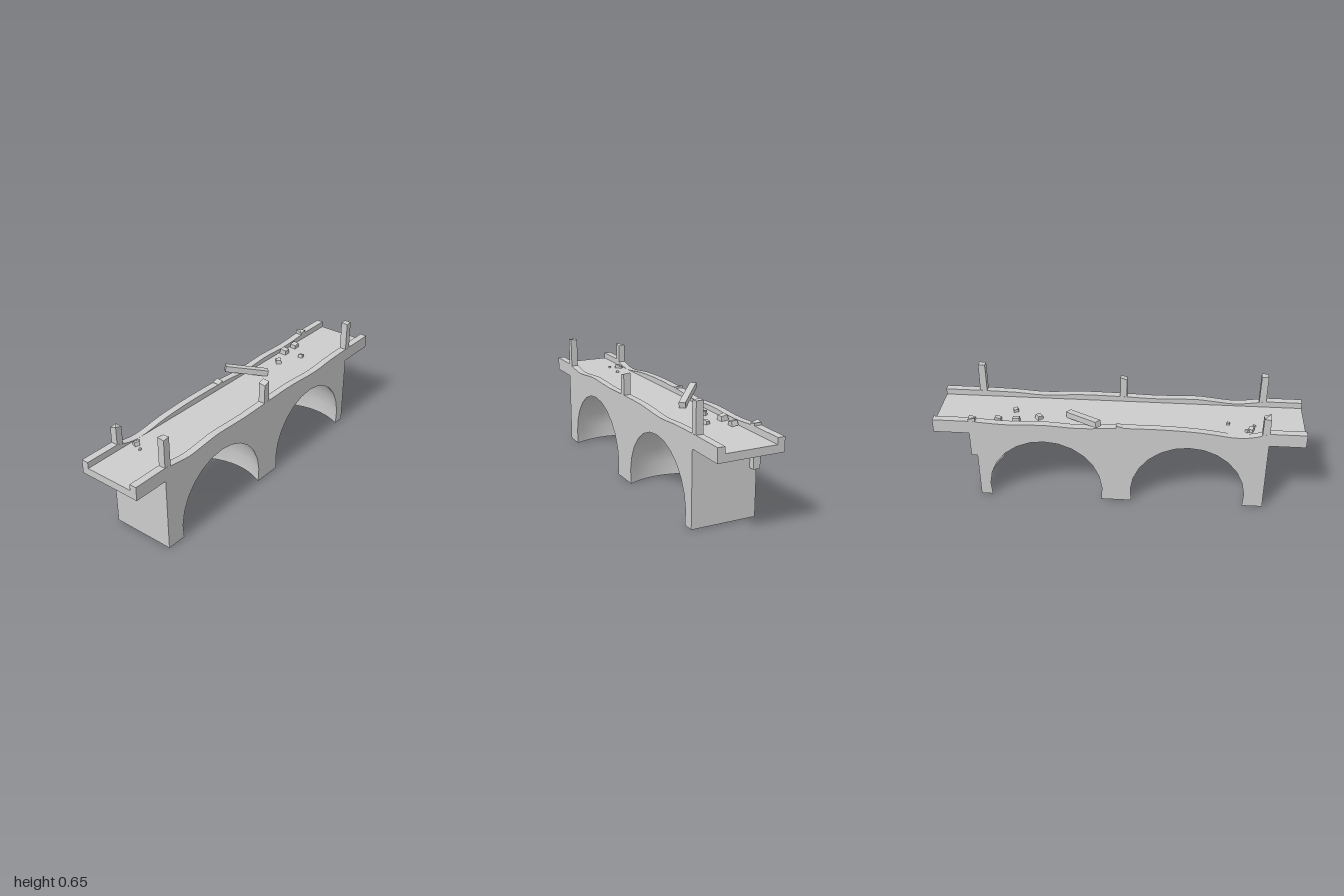
import * as THREE from 'three';

const FRONT = 0.195, BACK = -0.165, MID = 0.015, HALF = 0.18;
const LEFT_END = -0.805, RIGHT_END = 0.772;
const SPRING = 0.06, DECK_BOTTOM = 0.41, DECK_TOP = 0.452;
const ARCHES = [-0.385, 0.4];
const SEGS = 14, RINGS = 8;

const flat = new THREE.MeshStandardMaterial({ color: 0xcccccc, flatShading: true });
const thin = new THREE.MeshStandardMaterial({ color: 0xcccccc, side: THREE.DoubleSide });

function add(parent, name, geometry, material = flat) {
  const mesh = new THREE.Mesh(geometry, material);
  mesh.name = name;
  parent.add(mesh);
  return mesh;
}

function box(parent, name, x0, x1, y0, y1, z0, z1) {
  const g = new THREE.BoxGeometry(x1 - x0, y1 - y0, z1 - z0);
  g.translate((x0 + x1) / 2, (y0 + y1) / 2, (z0 + z1) / 2);
  return add(parent, name, g);
}

// Arch outline at depth u (-1 back, 1 front); the vault swells at mid-depth
function archPoints(cx, u) {
  const swell = 1 - u * u;
  const rx = 0.314 + 0.045 * swell, ry = 0.313 + 0.028 * swell;
  const a0 = -Math.asin(SPRING / ry);
  return Array.from({ length: SEGS + 1 }, (_, i) => {
    const a = a0 + (Math.PI - 2 * a0) * i / SEGS;
    return new THREE.Vector2(cx + rx * Math.cos(a), Math.max(0, SPRING + ry * Math.sin(a)));
  });
}

// Curved underside of one arch, lofted from front to back
function vault(cx) {
  const pos = [], index = [], w = SEGS + 1;
  for (let j = 0; j <= RINGS; j++) {
    const u = -1 + 2 * j / RINGS;
    for (const p of archPoints(cx, u)) pos.push(p.x, p.y, MID + HALF * u);
  }
  for (let j = 0; j < RINGS; j++) {
    for (let i = 0; i < SEGS; i++) {
      const a = j * w + i;
      index.push(a, a + 1, a + w, a + 1, a + w + 1, a + w);
    }
  }
  const g = new THREE.BufferGeometry();
  g.setAttribute('position', new THREE.Float32BufferAttribute(pos, 3));
  g.setIndex(index);
  g.computeVertexNormals();
  return g;
}

// Arched side wall, flat in the xy plane
function wallShape() {
  const pts = [new THREE.Vector2(LEFT_END, 0)];
  for (const cx of ARCHES) pts.push(...archPoints(cx, 1).reverse());
  pts.push(new THREE.Vector2(RIGHT_END, 0), new THREE.Vector2(RIGHT_END, DECK_BOTTOM), new THREE.Vector2(LEFT_END, DECK_BOTTOM));
  return new THREE.ShapeGeometry(new THREE.Shape(pts));
}

// Foot of a pier between two vault edges, waisted at mid-depth
function pierFoot(leftEdge, rightEdge) {
  const us = Array.from({ length: RINGS + 1 }, (_, j) => -1 + 2 * j / RINGS);
  const pts = us.map(u => new THREE.Vector2(leftEdge(u), MID + HALF * u));
  pts.push(...us.reverse().map(u => new THREE.Vector2(rightEdge(u), MID + HALF * u)));
  return new THREE.ShapeGeometry(new THREE.Shape(pts)).rotateX(Math.PI / 2);
}

// Worn parapet: top edge heights along x, extruded across its thickness
function parapet(heights, z0) {
  const s = new THREE.Shape();
  s.moveTo(-1, DECK_TOP - 0.002);
  s.lineTo(1, DECK_TOP - 0.002);
  const curve = new THREE.SplineCurve(heights.map(h => new THREE.Vector2(...h)).reverse());
  s.lineTo(1, 0.486);
  s.lineTo(0.8, 0.486);
  curve.getPoints(30).forEach(p => s.lineTo(p.x, Math.max(p.y, DECK_TOP)));
  s.lineTo(-0.8, 0.486);
  s.lineTo(-1, 0.486);
  return new THREE.ExtrudeGeometry(s, { depth: 0.04, bevelEnabled: false }).translate(0, 0, z0);
}

// Broken post: the top corners are dropped by different amounts
function post(parent, name, x, z, bottom, top, drops, width = 0.039) {
  const h = top - bottom;
  const g = new THREE.BoxGeometry(width, h, 0.039, 1, 4, 1);
  const p = g.attributes.position;
  for (let i = 0; i < p.count; i++) {
    const t = p.getY(i) / h + 0.5;
    const k = (p.getX(i) > 0 ? 1 : 0) + (p.getZ(i) > 0 ? 2 : 0);
    p.setY(i, p.getY(i) - (t > 0.9 ? drops[k] : 0));
    p.setX(i, p.getX(i) * (1 - 0.14 * Math.max(0, t - 0.3) * (k % 2)));
  }
  g.translate(x, (bottom + top) / 2, z);
  return add(parent, name, g);
}

export function createModel() {
  const model = new THREE.Group();
  model.name = 'ruinedBridge';

  // Arched body
  const body = new THREE.Group();
  body.name = 'archedBody';
  model.add(body);
  add(body, 'frontWall', wallShape(), thin).position.z = FRONT;
  add(body, 'backWall', wallShape(), thin).position.z = BACK;
  ARCHES.forEach(cx => add(body, 'archVault', vault(cx), thin));
  for (const x of [LEFT_END, RIGHT_END]) {
    const end = add(body, 'endWall', new THREE.PlaneGeometry(2 * HALF, DECK_BOTTOM), thin);
    end.rotation.y = Math.PI / 2;
    end.position.set(x, DECK_BOTTOM / 2, MID);
  }
  const edge = (cx, side) => u => archPoints(cx, u)[side > 0 ? 0 : SEGS].x;
  const feet = [
    [() => LEFT_END, edge(ARCHES[0], -1)],
    [edge(ARCHES[0], 1), edge(ARCHES[1], -1)],
    [edge(ARCHES[1], 1), () => RIGHT_END],
  ];
  feet.forEach(([l, r]) => add(body, 'pierFoot', pierFoot(l, r), thin));

  // Road deck and worn parapets
  box(model, 'deck', -1, 1, DECK_BOTTOM, DECK_TOP, BACK, FRONT);
  add(model, 'frontParapet', parapet([[-0.8, 0.486], [-0.74, 0.476], [-0.63, 0.464], [-0.5, 0.476],
    [-0.4, 0.483], [-0.2, 0.477], [0, 0.482], [0.22, 0.484], [0.44, 0.472], [0.6, 0.482], [0.8, 0.486]], 0.155));
  add(model, 'backParapet', parapet([[-0.8, 0.486], [-0.72, 0.46], [-0.62, 0.453], [-0.45, 0.474],
    [-0.25, 0.484], [0, 0.482], [0.2, 0.47], [0.4, 0.48], [0.6, 0.474], [0.8, 0.486]], BACK));

  // Posts, some snapped off
  const zf = 0.175, zb = -0.145;
  post(model, 'frontPost', -0.785, zf, 0.44, 0.645, [0, 0.004, 0.005, 0]);
  post(model, 'frontPost', -0.01, zf, 0.44, 0.604, [0.012, 0, 0.015, 0.004]);
  post(model, 'frontPost', 0.785, zf, 0.44, 0.65, [0, 0, 0.003, 0]);
  post(model, 'backPost', -0.785, zb, 0.44, 0.587, [0.016, 0.008, 0, 0.012]);
  post(model, 'backPostStump', -0.01, zb, 0.44, 0.495, [0.008, 0, 0.012, 0.004]);
  post(model, 'backPostStump', 0.786, zb, 0.265, 0.51, [0.004, 0.012, 0.018, 0.008]);

  // Fallen beam leaning over the back parapet
  const a = new THREE.Vector3(0.1, 0.516, -0.182), b = new THREE.Vector3(0.278, 0.467, -0.017);
  const beam = add(model, 'fallenBeam', new THREE.BoxGeometry(0.036, 0.034, a.distanceTo(b)));
  beam.position.copy(a).lerp(b, 0.5);
  beam.lookAt(b);

  // Rubble: x, z, size
  const rubble = [[0.435, -0.055, 0.032], [0.555, -0.098, 0.04], [0.655, -0.097, 0.036], [0.575, 0.007, 0.026],
    [-0.71, -0.09, 0.028], [-0.73, -0.045, 0.012], [-0.59, -0.035, 0.016], [-0.69, -0.1, 0.018]];
  rubble.forEach(([x, z, s], i) => {
    const g = new THREE.BoxGeometry(s * 1.1, s * 0.75, s);
    const p = g.attributes.position;
    for (let k = 0; k < p.count; k++) {
      if (p.getY(k) > 0) p.setXYZ(k, p.getX(k) * 0.8, p.getY(k) * (p.getX(k) > 0 ? 1 : 0.75), p.getZ(k) * 0.9);
    }
    const rock = add(model, 'rubble', g);
    rock.position.set(x, DECK_TOP + s * 0.38, z);
    rock.rotation.set(0.12 * (i % 3 - 1), i === 2 ? 0 : 0.7 + i * 0.9, 0.1);
  });

  return model;
}
